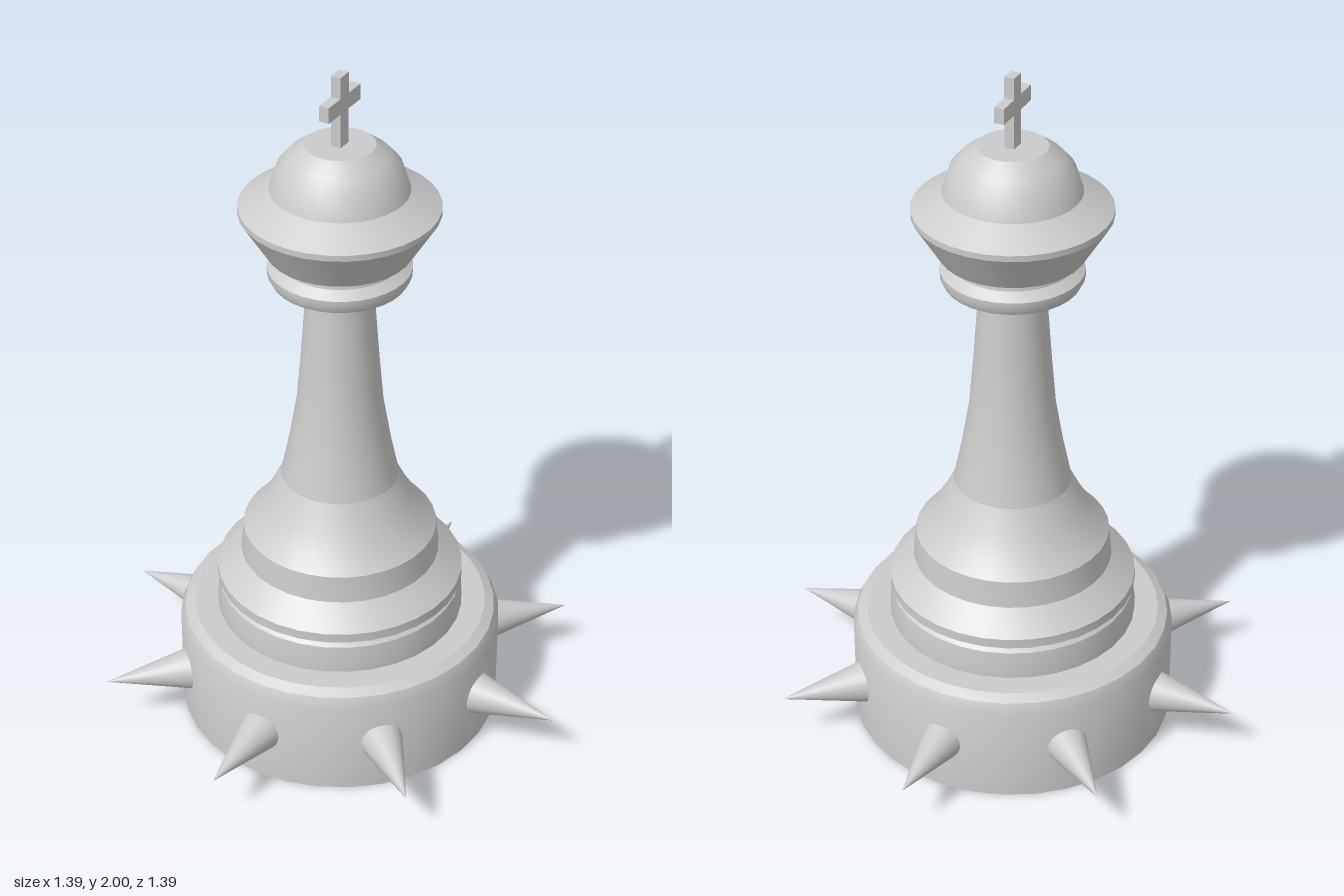
import * as THREE from 'three';
import { toCreasedNormals } from 'three/addons/utils/BufferGeometryUtils.js';

const material = new THREE.MeshStandardMaterial({ color: 0xcccccc });

function add(parent, geometry, name, x = 0, y = 0, z = 0) {
  const mesh = new THREE.Mesh(geometry, material);
  mesh.name = name;
  mesh.position.set(x, y, z);
  parent.add(mesh);
  return mesh;
}

// Turned part from [radius, height] pairs, listed bottom to top
function turned(parent, name, profile) {
  const points = profile.map(([r, y]) => new THREE.Vector2(r, y));
  const lathe = new THREE.LatheGeometry(points, 32);
  return add(parent, toCreasedNormals(lathe, 0.5), name);
}

export function createModel() {
  const model = new THREE.Group();
  model.name = 'spikedChessKing';

  // Turned piece
  const piece = new THREE.Group();
  piece.name = 'turnedPiece';
  piece.position.set(-0.004, 0, -0.004);
  model.add(piece);

  turned(piece, 'base', [[0, 0], [0.461, 0], [0.461, 0.285], [0.447, 0.315], [0.42, 0.33], [0, 0.33]]);

  turned(piece, 'steppedFoot', [
    [0.352, 0.33], [0.352, 0.365], [0.345, 0.41], [0.335, 0.42], [0.335, 0.43],
    [0.35, 0.432], [0.35, 0.46], [0.282, 0.52], [0.274, 0.6],
    [0.238, 0.64], [0.2, 0.7], [0.165, 0.77],
  ]);

  turned(piece, 'stem', [[0.165, 0.77], [0.142, 0.88], [0.12, 1.01], [0.107, 1.16], [0.096, 1.31], [0.092, 1.4]]);

  turned(piece, 'collar', [
    [0.09, 1.4], [0.185, 1.4], [0.195, 1.42], [0.195, 1.44], [0.168, 1.46], [0.165, 1.478],
  ]);

  turned(piece, 'crown', [
    [0.165, 1.478], [0.198, 1.488], [0.27, 1.605], [0.27, 1.622],
    [0.187, 1.67], [0.166, 1.735], [0.135, 1.77], [0.095, 1.8], [0, 1.8],
  ]);

  // Thin cross outlined in the z-y plane
  const half = [[0.021, 0], [0.021, 0.107], [0.081, 0.107], [0.081, 0.151], [0.021, 0.151], [0.021, 0.21]];
  const outline = [...half, ...half.map(([x, y]) => [-x, y]).reverse()];
  const cross = new THREE.ExtrudeGeometry(
    new THREE.Shape(outline.map(([x, y]) => new THREE.Vector2(x, y))),
    { depth: 0.028, bevelEnabled: false },
  );
  cross.translate(0, 0, -0.014);
  cross.rotateY(Math.PI / 2);
  add(piece, cross, 'finialCross', 0, 1.79, 0);

  // Ring of spikes around the base
  const spike = new THREE.ConeGeometry(0.068, 0.275, 24);
  spike.rotateX(Math.PI / 2);
  spike.translate(0, 0, 0.4205 + 0.275 / 2);
  for (let i = 0; i < 8; i++) {
    add(model, spike, 'spike', 0, 0.155, 0).rotation.y = (i * Math.PI) / 4;
  }

  return model;
}
